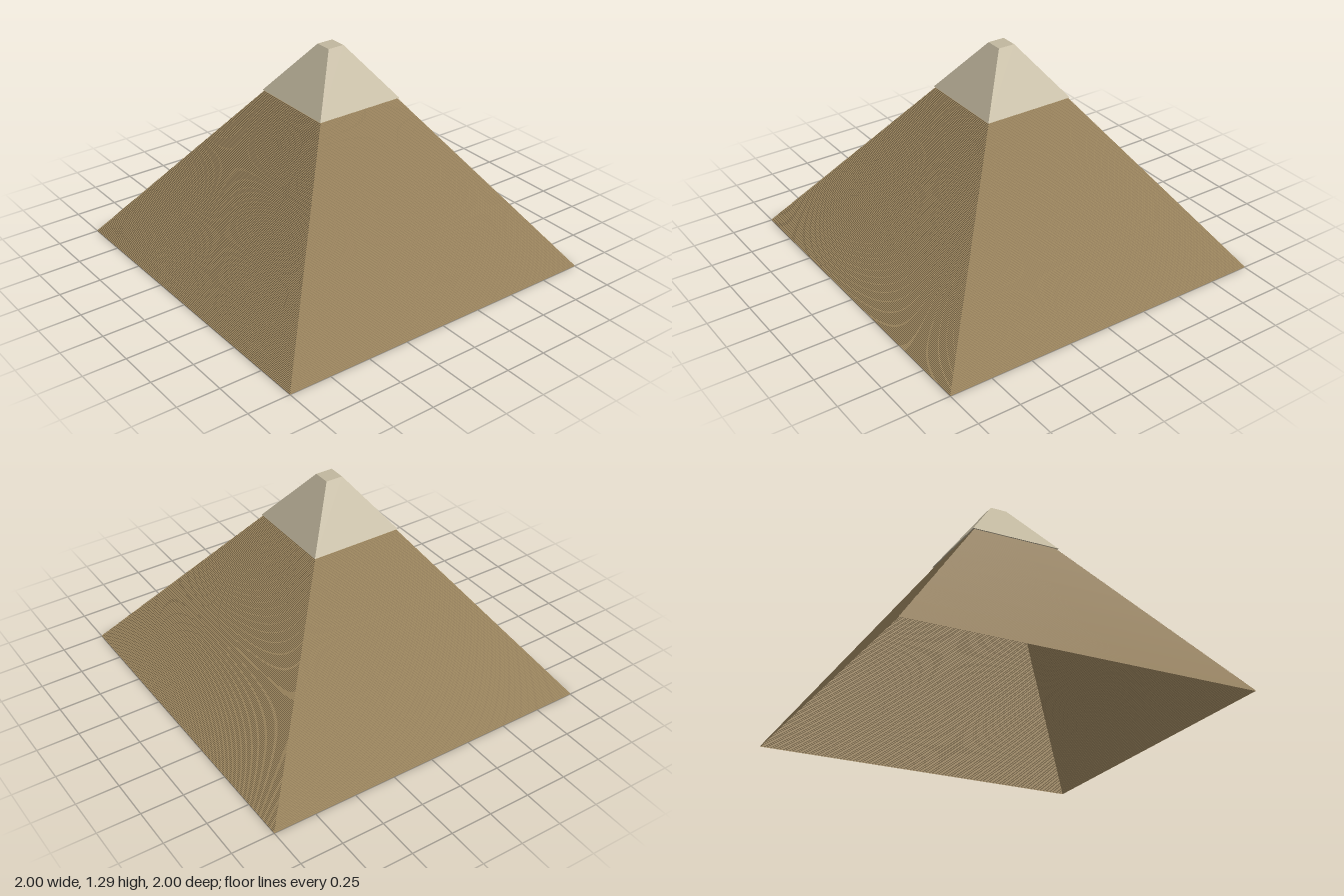
import * as THREE from 'three';

const COURSES = 160;
const BODY_HEIGHT = 0.995;
const BASE_HALF = 1;
const TOP_HALF = 0.262;
const CORNER = Math.SQRT2; // half-width to corner radius of a square

// Split shared vertices so every face is flat
function faceted(geometry) {
  const flat = geometry.toNonIndexed();
  flat.computeVertexNormals();
  return flat;
}

function part(name, geometry, material) {
  const mesh = new THREE.Mesh(faceted(geometry), material);
  mesh.name = name;
  return mesh;
}

export function createModel() {
  const stone = new THREE.MeshStandardMaterial({ color: 0xa68e65, side: THREE.DoubleSide });
  stone.name = 'sandy stone';
  const limestone = new THREE.MeshStandardMaterial({ color: 0xc2b89f });
  limestone.name = 'pale limestone';

  const model = new THREE.Group();
  model.name = 'pyramid';

  // Stepped courses: one riser and one tread each, open underneath
  const profile = [];
  for (let i = 0; i < COURSES; i++) {
    const half = THREE.MathUtils.lerp(BASE_HALF, TOP_HALF, i / (COURSES - 1));
    profile.push(new THREE.Vector2(half * CORNER, (i / COURSES) * BODY_HEIGHT));
    profile.push(new THREE.Vector2(half * CORNER, ((i + 1) / COURSES) * BODY_HEIGHT));
  }
  model.add(part('steppedCourses', new THREE.LatheGeometry(profile, 4, Math.PI / 4), stone));

  // Smooth casing cap, slightly overhanging, with a flat top
  const capHeight = 0.295;
  const cap = part('casingCap',
    new THREE.CylinderGeometry(0.05 * CORNER, 0.27 * CORNER, capHeight, 4, 1, false, Math.PI / 4),
    limestone);
  cap.position.y = BODY_HEIGHT + capHeight / 2;
  model.add(cap);

  return model;
}
